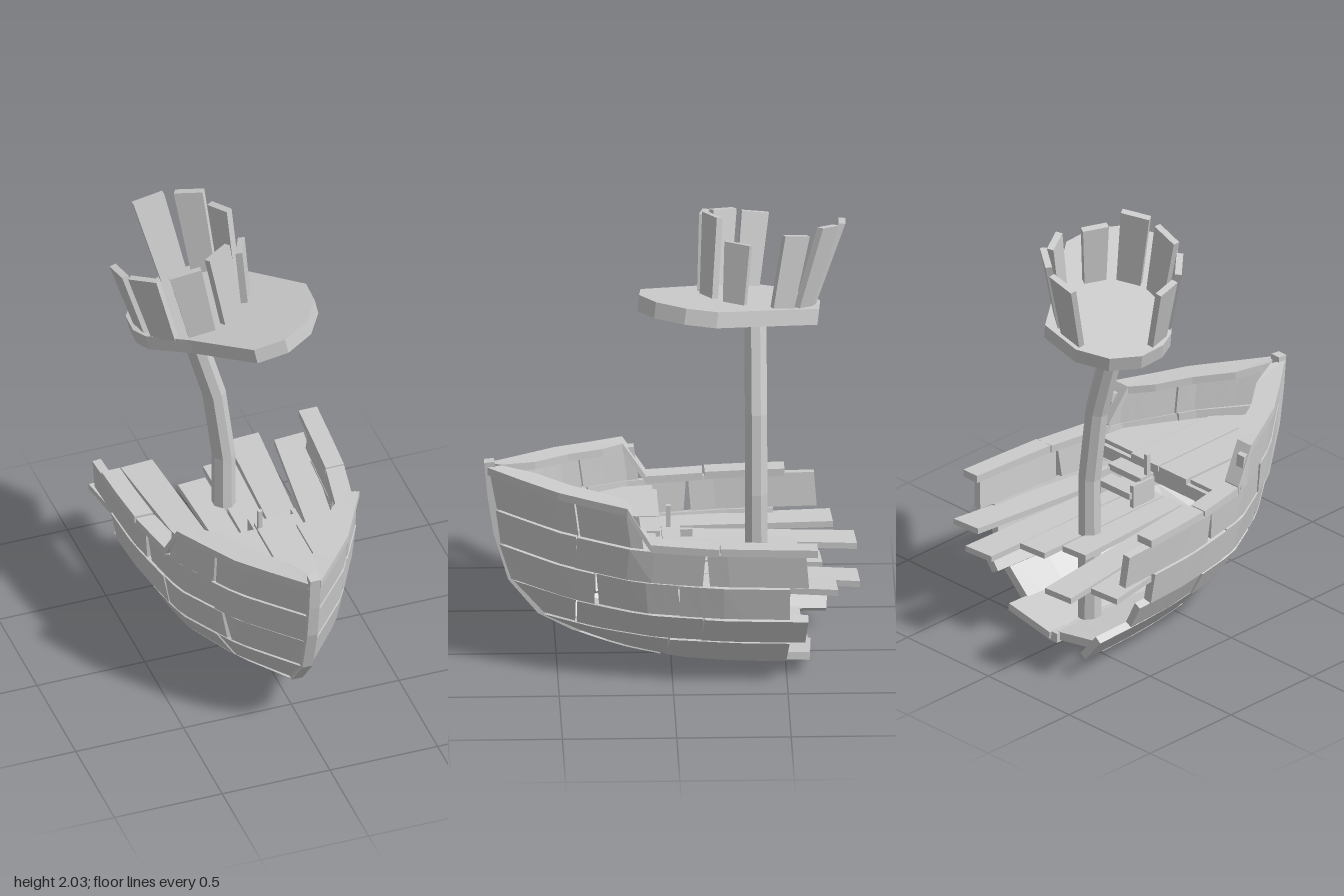
import * as THREE from 'three';

const material = new THREE.MeshStandardMaterial({ color: 0xcccccc, flatShading: true, side: THREE.DoubleSide });
const lerp = THREE.MathUtils.lerp;

// Closed solid through a list of convex cross-sections with equal corner counts
function loft(name, sections) {
  const n = sections[0].length, last = sections.length - 1, tris = [];
  const quad = (a, b, c, d) => tris.push([a, b, c], [a, c, d]);
  for (let i = 0; i < last; i++) {
    for (let j = 0; j < n; j++) {
      const k = (j + 1) % n, A = sections[i], B = sections[i + 1];
      quad(A[j], A[k], B[k], B[j]);
    }
  }
  for (let j = 1; j < n - 1; j++) {
    const A = sections[0], B = sections[last];
    tris.push([A[0], A[j + 1], A[j]], [B[0], B[j], B[j + 1]]);
  }
  // turn all faces outward, whichever way the sections run
  const v = tris.map(t => t.map(p => new THREE.Vector3(...p)));
  const volume = v.reduce((s, [a, b, c]) => s + a.dot(b.clone().cross(c)), 0);
  const points = v.flatMap(([a, b, c]) => (volume < 0 ? [a, c, b] : [a, b, c]));
  const geometry = new THREE.BufferGeometry().setFromPoints(points);
  geometry.computeVertexNormals();
  const mesh = new THREE.Mesh(geometry, material);
  mesh.name = name;
  return mesh;
}

function group(name, ...children) {
  const g = new THREE.Group();
  g.name = name;
  if (children.length) g.add(...children);
  return g;
}

// Hull seam lines from bulwark to keel: [stem z, stem y, midship y, half width]
const STERN = -0.62;
const SEAMS = [
  [0.80, 0.86, 0.81, 0.505], [0.77, 0.69, 0.65, 0.505], [0.75, 0.53, 0.49, 0.49],
  [0.70, 0.36, 0.33, 0.46], [0.57, 0.20, 0.20, 0.39], [0.42, 0.12, 0.07, 0.28], [0.10, 0.02, 0.03, 0.01],
];
const FULLNESS = [[0, 0.03], [0.2, 0.48], [0.43, 0.82], [0.71, 0.96], [1, 1.01], [2, 1.01]];

function hullPoint(seam, z) {
  const [stemZ, stemY, midY, width] = SEAMS[seam];
  z = Math.min(z, stemZ);
  const u = (stemZ - z) / (stemZ - STERN);
  const i = Math.max(1, FULLNESS.findIndex(f => f[0] >= u));
  const [u0, f0] = FULLNESS[i - 1], [u1, f1] = FULLNESS[i];
  const rise = Math.max(0, 1 - u / 0.7) ** 2;
  return [width * lerp(f0, f1, (u - u0) / (u1 - u0)), lerp(midY, stemY, rise), z];
}

// One hull plank between two seams; slant shifts the lower corners of its ends
function hullPlank(row, z0, z1, side, slant, bulge) {
  const sections = [], steps = 5, thick = 0.035;
  for (let i = 0; i <= steps; i++) {
    const t = i / steps;
    const at = (seam, shift) => {
      const start = Math.min(z0 + shift, SEAMS[seam][0]);
      return hullPoint(seam, lerp(start, z1 + shift, t));
    };
    const a = at(row, 0), b = at(row + 1, slant);
    const dx = a[0] - b[0], dy = a[1] - b[1], len = Math.hypot(dx, dy) || 1;
    const nx = -dy / len, ny = dx / len, gap = 0.004 / len;
    const corner = (p, q, d) => [
      side * Math.max(0.004, lerp(p[0], q[0], gap) + nx * d),
      lerp(p[1], q[1], gap) + ny * d, p[2]];
    sections.push([corner(a, b, -bulge), corner(b, a, -bulge), corner(b, a, thick), corner(a, b, thick)]);
  }
  return loft('hullPlank', sections);
}

// Rail cap swept along a seam
function railCap(zs, seam, side, lift = () => 0) {
  return loft('railCap', zs.map(z => {
    const [x, y, pz] = hullPoint(seam, z), h = y + lift(z);
    const out = x + 0.015, inn = Math.max(0.003, x - 0.07), zi = pz - (z > 0.3 ? 0.06 : 0);
    return [[side * out, h - 0.005, pz], [side * out, h + 0.03, pz], [side * inn, h + 0.03, zi], [side * inn, h - 0.005, zi]];
  }));
}

// Board from a flat outline of [x, z] corners, with top height given by a rule
function board(name, outline, height, thick, nx = 0, nz = 0) {
  const top = outline.map(([x, z]) => [x, height(x, z), z]);
  return loft(name, [top, top.map(([x, y, z]) => [x - nx * thick, y - thick, z - nz * thick])]);
}

function createHull() {
  const hull = group('hull');
  // plank joints for each row, bow to broken stern: left side, right side
  const joints = [
    [[1, 0.43, 0.15], [1, 0.40, 0.15]],
    [[1, 0.42, -0.14, -0.58], [1, 0.36, -0.08, -0.64]],
    [[1, 0.34, -0.02, -0.51], [1, 0.40, 0.05, -0.46]],
    [[1, 0.42, -0.13, -0.59], [1, 0.33, -0.10, -0.52]],
    [[1, 0.02, -0.51], [1, 0.08, -0.70]],
    [[1, 0.05, -0.60], [1, -0.02, -0.57]],
  ];
  joints.forEach((row, r) => row.forEach((zs, s) => {
    for (let i = 0; i < zs.length - 1; i++) {
      const slant = r === 0 ? -0.02 : i ? 0.012 * ((r + i) % 3 - 1) : 0;
      hull.add(hullPlank(r, zs[i] - (i ? 0.008 : 0), zs[i + 1], s ? -1 : 1, slant, 0.004 * ((i + r + s) % 3)));
    }
  }));
  // rails, stepping down from the raised bow
  for (const side of [1, -1]) {
    hull.add(railCap([0.8, 0.65, 0.5, 0.35, 0.2], 0, side));
    hull.add(railCap([0.2, 0.1], 0, side, z => (z < 0.15 ? -0.155 : 0)));
    hull.add(railCap([0.1, 0, -0.15, side > 0 ? -0.2 : -0.14], 1, side));
    hull.add(railCap(side > 0 ? [-0.205, -0.4, -0.63] : [-0.16, -0.35, -0.51], 1, side, () => 0.003));
  }
  // stem and keel in one bent timber
  const keel = [[0.815, 0.91], [0.80, 0.75], [0.775, 0.58], [0.71, 0.36], [0.58, 0.20], [0.43, 0.12], [0.1, 0.015], [-0.6, 0.02]];
  hull.add(loft('stemAndKeel', keel.map(([z, y], i) => {
    const p = keel[Math.max(0, i - 1)], q = keel[Math.min(keel.length - 1, i + 1)];
    const dz = q[0] - p[0], dy = q[1] - p[1], len = Math.hypot(dz, dy);
    const iz = z + dy / len * 0.045, iy = y - dz / len * 0.045;
    return [[-0.024, y, z], [0.024, y, z], [0.024, iy, iz], [-0.024, iy, iz]];
  })));
  return hull;
}

function createDecks() {
  const deck = group('decks');
  // main deck planks fan out to ragged ends: [centre x, width, end z, droop]
  const planks = [[-0.41, 0.15, -0.72, 0.02], [-0.235, 0.15, -0.82, 0.05], [-0.08, 0.13, -0.56, 0],
    [0.07, 0.14, -0.66, 0.01], [0.235, 0.15, -0.82, 0.03], [0.405, 0.14, -0.72, 0]];
  for (const [x, w, end, droop] of planks) {
    const front = x * 0.8, h = w / 2, tilt = x * 0.05;
    deck.add(board('mainDeckPlank',
      [[front - h * 0.85, 0.08], [front + h * 0.85, 0.08], [x + h + tilt, end], [x - h + tilt, end + 0.01]],
      (px, z) => 0.485 - droop * Math.max(0, (0.08 - z) / (0.08 - end)), 0.028));
  }
  // raised bow deck
  for (const s of [1, -1]) {
    deck.add(board('bowDeckPlank', [[s * 0.004, 0.05], [s * 0.17, 0.05], [s * 0.17, 0.54], [s * 0.004, 0.72]], () => 0.64, 0.03));
    deck.add(board('bowDeckPlank', [[s * 0.178, 0.07], [s * 0.38, 0.07], [s * 0.36, 0.22], [s * 0.178, 0.52]], () => 0.635, 0.03));
  }
  const box = (name, w, h, d, x, y, z) => {
    const mesh = new THREE.Mesh(new THREE.BoxGeometry(w, h, d), material);
    mesh.name = name;
    mesh.position.set(x, y, z);
    deck.add(mesh);
  };
  box('deckBeam', 0.76, 0.06, 0.04, 0, 0.585, 0.07);
  // steps and their post
  box('step', 0.2, 0.03, 0.08, 0.12, 0.59, 0.0);
  box('step', 0.2, 0.03, 0.08, 0.12, 0.54, -0.07);
  for (const x of [0.02, 0.22]) box('stepSide', 0.02, 0.11, 0.13, x, 0.535, -0.03);
  box('stepPost', 0.02, 0.22, 0.02, 0.03, 0.595, 0.01);
  return deck;
}

function createMast() {
  const path = [[0, 0], [0, 0.75], [-0.045, 1.1], [-0.18, 1.575]];
  return loft('mast', path.map(([x, y], i) => Array.from({ length: 8 }, (_, k) => {
    const a = (k + 0.5) * Math.PI / 4, r = i ? 0.052 : 0.056;
    const px = r * Math.cos(a);
    return [x + px, y + (i > 1 ? px * 0.2 : 0), -0.375 + r * Math.sin(a)];
  })));
}

function createLookout() {
  const nx = -0.2, nz = -0.12;
  const floor = (x, z) => 1.689 - nx * x - nz * z;
  const outline = [[-0.43, -0.35], [-0.42, -0.47], [-0.34, -0.59], [-0.2, -0.66], [0, -0.65], [0.09, -0.52],
    [0.32, -0.2], [0.31, -0.06], [0.23, 0.07], [0.1, 0.14], [-0.04, 0.13], [-0.25, -0.12], [-0.4, -0.27]];
  const lookout = group('lookout', board('lookoutFloor', outline, floor, 0.07, nx, nz));
  // surviving staves around the tilted floor: [angle, width, height, flare]
  const staves = [[172, 0.12, 0.33, 0.03], [138, 0.14, 0.34, 0.03], [98, 0.14, 0.35, 0.03], [62, 0.13, 0.37, 0.03],
    [25, 0.12, 0.28, 0.04], [-88, 0.14, 0.38, 0.09], [-56, 0.13, 0.38, 0.08], [-26, 0.12, 0.34, 0.05]];
  for (const [angle, width, height, flare] of staves) {
    const a = angle * Math.PI / 180, c = Math.cos(a), s = Math.sin(a);
    const ring = (h, f, w) => [[-w, 0], [w, 0], [w, 0.03], [-w, 0.03]].map(([t, d]) => {
      const r = 0.225 + f + d, x = -0.15 + c * r - s * t, z = -0.38 + s * r + c * t;
      return [x + nx * h, floor(x, z) + h * 0.98 - 0.01, z + nz * h];
    });
    lookout.add(loft('stave', [ring(0, 0, width * 0.42), ring(height, flare, width * 0.5)]));
  }
  return lookout;
}

export function createModel() {
  return group('wreckedShip', createHull(), createDecks(), createMast(), createLookout());
}
